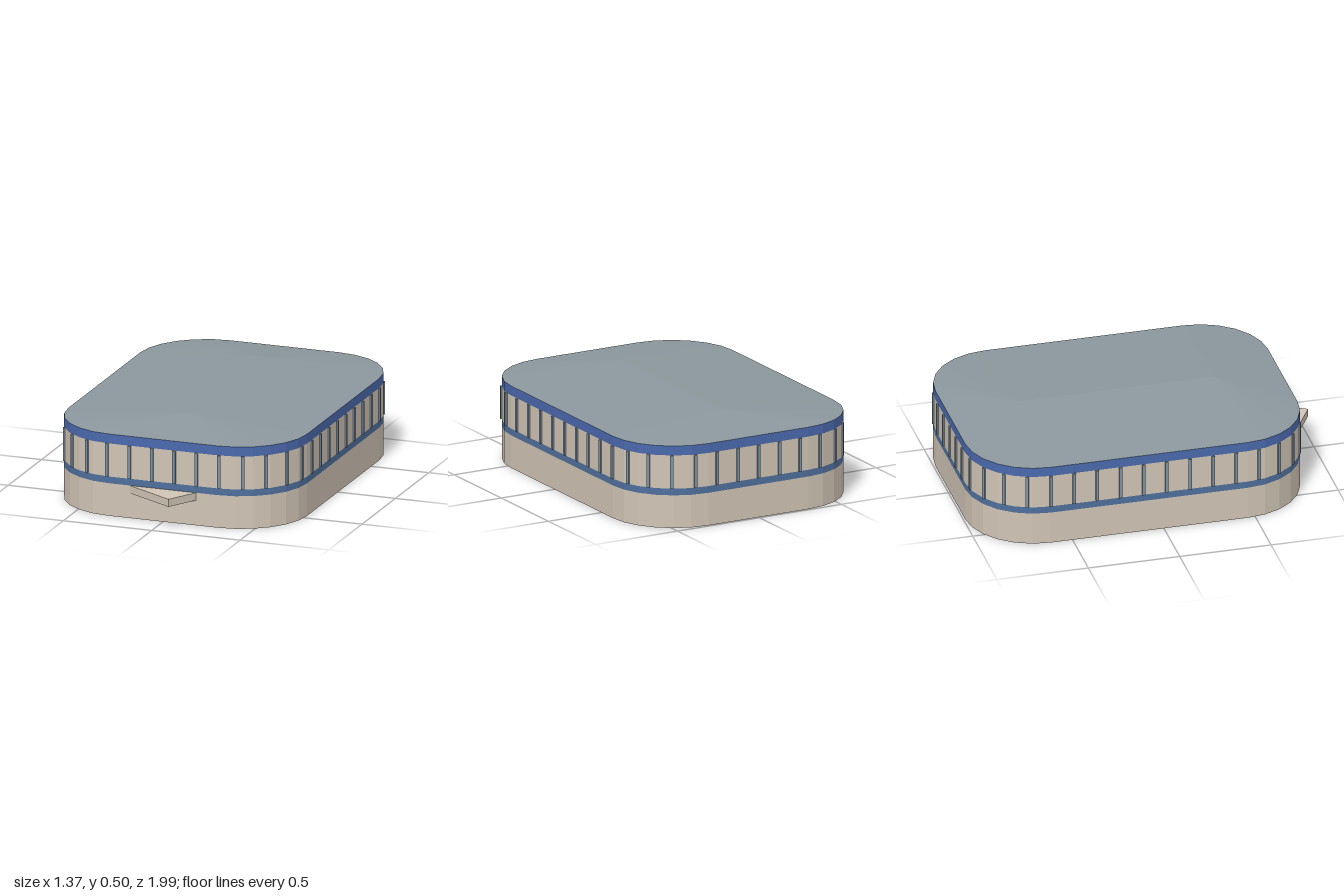
import * as THREE from 'three';

const mat = (name, color, side = THREE.DoubleSide) => {
  const m = new THREE.MeshStandardMaterial({ color, side, flatShading: true });
  m.name = name;
  return m;
};

// Rounded rectangular plan, as [x, z] points starting at the middle of the back
const HALF = 0.305, RADIUS = 0.37, Z_FRONT = 0.46, Z_BACK = -0.62, STEPS = 6;
function planOutline() {
  const pts = [[0, Z_BACK - RADIUS]];
  const corners = [[HALF, Z_BACK], [HALF, Z_FRONT], [-HALF, Z_FRONT], [-HALF, Z_BACK]];
  corners.forEach(([cx, cz], i) => {
    for (let k = 0; k <= STEPS; k++) {
      const a = (i - 1 + k / STEPS) * Math.PI / 2;
      pts.push([cx + RADIUS * Math.cos(a), cz + RADIUS * Math.sin(a)]);
    }
  });
  return pts;
}

function fromTriangles(pos) {
  const g = new THREE.BufferGeometry();
  g.setAttribute('position', new THREE.Float32BufferAttribute(pos, 3));
  g.computeVertexNormals();
  return g;
}

// Open vertical band following the plan
function ring(plan, y0, y1) {
  const pos = [];
  plan.forEach(([ax, az], i) => {
    const [bx, bz] = plan[(i + 1) % plan.length];
    pos.push(ax, y0, az, ax, y1, az, bx, y1, bz);
    pos.push(ax, y0, az, bx, y1, bz, bx, y0, bz);
  });
  return fromTriangles(pos);
}

// Shallow roof rising from the plan to a central ridge
function hipRoof(plan, yEave, yRidge) {
  const pos = [];
  const ridge = z => Math.min(Z_FRONT, Math.max(Z_BACK, z));
  plan.forEach(([ax, az], i) => {
    const [bx, bz] = plan[(i + 1) % plan.length];
    const ra = ridge(az), rb = ridge(bz);
    pos.push(ax, yEave, az, 0, yRidge, ra, bx, yEave, bz);
    if (Math.abs(ra - rb) > 1e-4) pos.push(0, yRidge, ra, 0, yRidge, rb, bx, yEave, bz);
  });
  return fromTriangles(pos);
}

export function createModel() {
  const group = new THREE.Group();
  const beige = mat('beige wall', 0xd0c4b5);
  const blue = mat('blue trim', 0x4a69ad);
  const steel = mat('steel blue sill', 0x4f6f9c);
  const slate = mat('slate post', 0x7d91a3, THREE.FrontSide);
  const grey = mat('grey roof', 0x8c989e);
  const add = (name, geometry, material, parent = group) => {
    const mesh = new THREE.Mesh(geometry, material);
    mesh.name = name;
    parent.add(mesh);
    return mesh;
  };

  // Stacked wall bands and roof
  const plan = planOutline();
  add('lowerWall', ring(plan, 0, 0.18), beige);
  add('sillBand', ring(plan, 0.18, 0.217), steel);
  add('upperWall', ring(plan, 0.217, 0.4), beige);
  add('eaveBand', ring(plan, 0.4, 0.452), blue);
  add('roof', hipRoof(plan, 0.452, 0.498), grey);

  // Evenly spaced posts around the upper wall
  const path = new THREE.CurvePath();
  plan.forEach(([ax, az], i) => {
    const [bx, bz] = plan[(i + 1) % plan.length];
    path.add(new THREE.LineCurve3(new THREE.Vector3(ax, 0, az), new THREE.Vector3(bx, 0, bz)));
  });
  const posts = new THREE.Group();
  posts.name = 'posts';
  group.add(posts);
  const postGeo = new THREE.BoxGeometry(0.017, 0.181, 0.017);
  const COUNT = 45;
  for (let i = 0; i < COUNT; i++) {
    const p = path.getPoint(i / COUNT), t = path.getTangent(i / COUNT);
    const post = add('post', postGeo, slate, posts);
    post.position.set(p.x, 0.3085, p.z);
    post.rotation.y = Math.atan2(-t.z, t.x);
  }

  // Slanted canopy over the entrance
  const canopy = add('canopy', new THREE.BoxGeometry(0.322, 0.042, 0.19), beige);
  canopy.position.set(0, 0.159, 0.83);
  canopy.rotation.y = -Math.PI / 6;

  return group;
}
